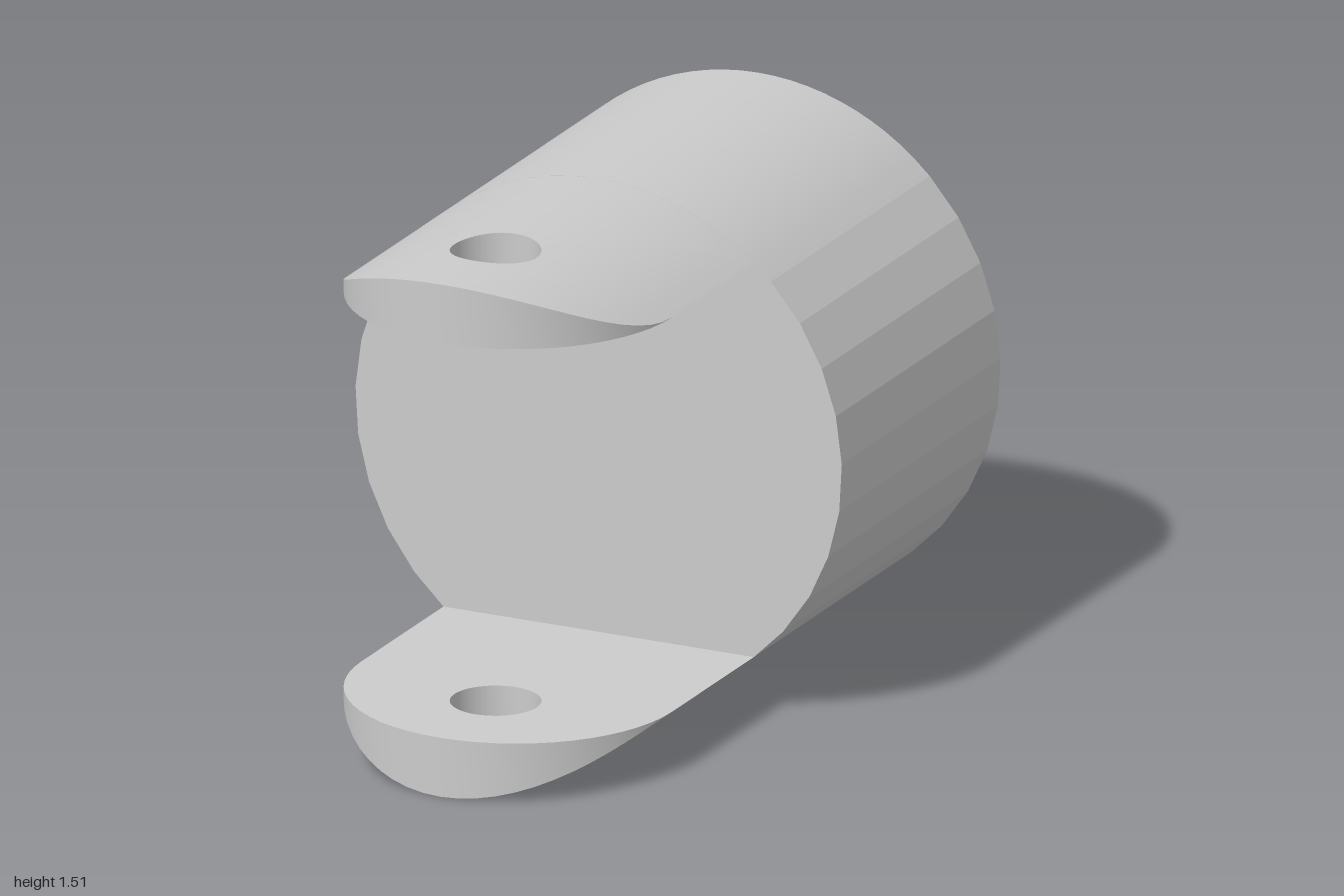
import * as THREE from 'three';
import { toCreasedNormals } from 'three/addons/utils/BufferGeometryUtils.js';

const R = 0.757;            // body radius
const W = 0.483;            // half width of an ear
const CHORD = Math.sqrt(R * R - W * W); // height of the ear's flat inner face
const CAP_Z = 1 - W;        // centre of the rounded ear end
const HOLE_Z = 0.65, HOLE_R = 0.128;
const material = new THREE.MeshStandardMaterial({ color: 0xcccccc, side: THREE.DoubleSide });

// Round body: broad facets on the sides, fine ones above the ears
function bodyGeometry() {
  const edge = Math.acos(W / R);
  const angles = [-edge];
  for (let k = -4; k <= 4; k++) angles.push(THREE.MathUtils.degToRad(2.1 + 10.7 * k));
  const fine = 20, span = Math.PI - 2 * edge;
  for (let k = 0; k <= fine; k++) angles.push(edge + span * k / fine);
  for (let k = 4; k >= -4; k--) angles.push(Math.PI - THREE.MathUtils.degToRad(2.1 + 10.7 * k));
  for (let k = 0; k < fine; k++) angles.push(Math.PI + edge + span * k / fine);
  const shape = new THREE.Shape(angles.map(a => new THREE.Vector2(R * Math.cos(a), R * Math.sin(a))));
  const geo = new THREE.ExtrudeGeometry(shape, { depth: 1, bevelEnabled: false });
  return toCreasedNormals(geo.translate(0, 0, -1), 0.1);
}

// Plan outline of an ear as [x, z] points
function earOutline() {
  const pts = [];
  for (let i = 0; i < 12; i++) pts.push([-W + 2 * W * i / 12, 0]);
  for (let i = 0; i < 8; i++) pts.push([W, CAP_Z * i / 8]);
  for (let i = 0; i < 28; i++) {
    const a = Math.PI * i / 28;
    pts.push([W * Math.cos(a), CAP_Z + W * Math.sin(a)]);
  }
  for (let i = 0; i < 8; i++) pts.push([-W, CAP_Z * (1 - i / 8)]);
  return pts;
}

// Ear: sections from the hole to the outline, curved outside and flat inside
function earGeometry() {
  const outline = earOutline(), rings = 8, n = 2 * (rings + 1);
  const pos = [], idx = [];
  for (const [x, z] of outline) {
    const a = Math.atan2(z - HOLE_Z, x);
    const hx = HOLE_R * Math.cos(a), hz = HOLE_Z + HOLE_R * Math.sin(a);
    for (let j = 0; j < n; j++) {
      const top = j <= rings;
      const t = (top ? j : n - 1 - j) / rings;
      const px = hx + (x - hx) * t, pz = hz + (z - hz) * t;
      pos.push(px, top ? Math.sqrt(R * R - px * px) : CHORD, pz);
    }
  }
  for (let i = 0; i < outline.length; i++) {
    const i2 = (i + 1) % outline.length;
    for (let j = 0; j < n; j++) {
      const j2 = (j + 1) % n;
      const a = i * n + j, b = i * n + j2, c = i2 * n + j2, d = i2 * n + j;
      idx.push(a, d, b, d, c, b);
    }
  }
  const geo = new THREE.BufferGeometry();
  geo.setAttribute('position', new THREE.Float32BufferAttribute(pos, 3));
  geo.setIndex(idx);
  return toCreasedNormals(geo, 0.15);
}

export function createModel() {
  const group = new THREE.Group();
  group.name = 'clevis';
  const add = (name, geo) => {
    const mesh = new THREE.Mesh(geo, material);
    mesh.name = name;
    mesh.position.y = R;
    group.add(mesh);
    return mesh;
  };
  add('body', bodyGeometry());
  const ear = earGeometry();
  add('upperEar', ear);
  add('lowerEar', ear).rotation.z = Math.PI;
  return group;
}
